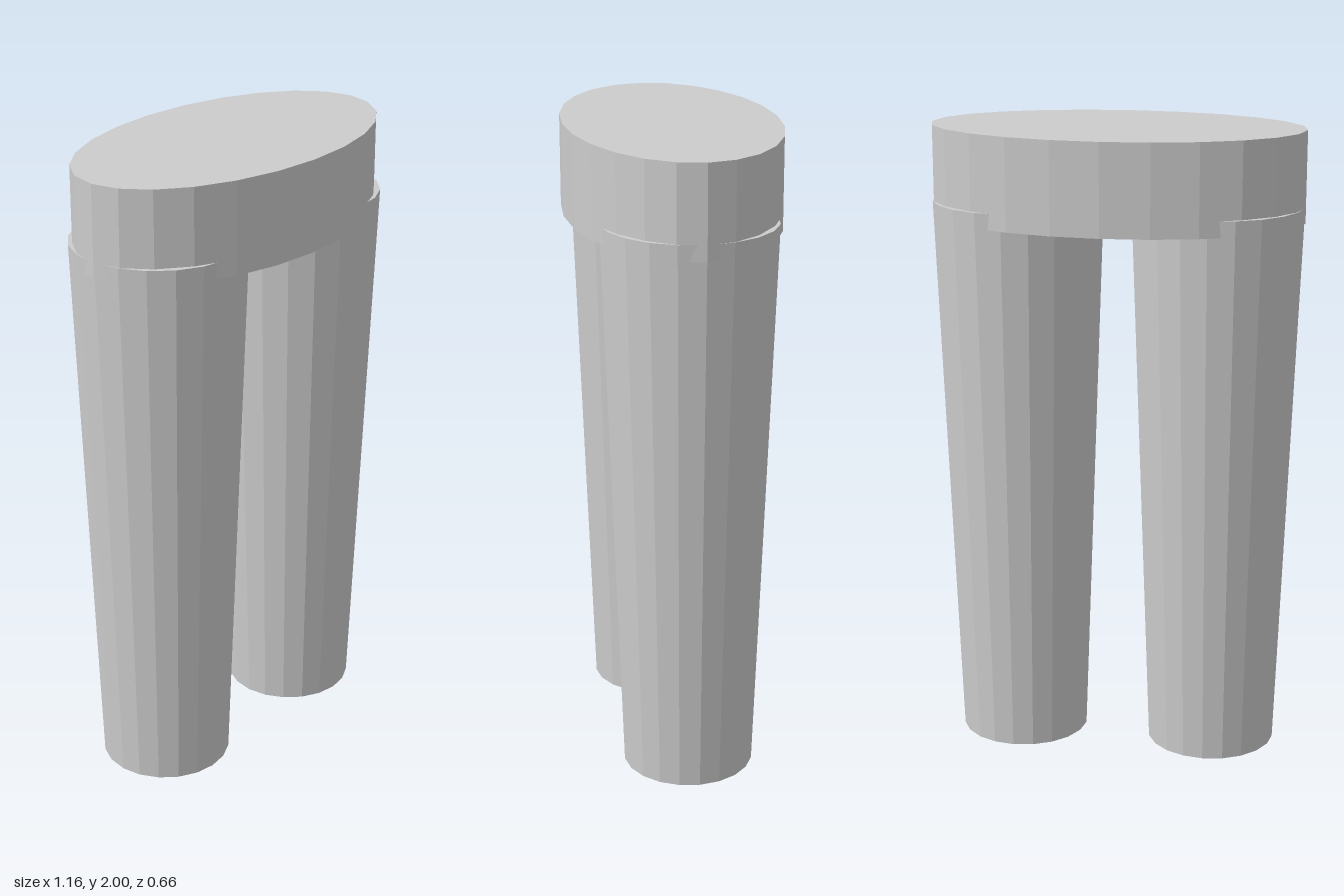
import * as THREE from 'three';

export function createModel() {
  const model = new THREE.Group();
  model.name = 'trousers';

  const fabric = new THREE.MeshStandardMaterial({ color: 0xcccccc, flatShading: true });
  fabric.name = 'light grey fabric';

  // Oval waistband
  const waistBottom = 1.715, waistHeight = 2 - waistBottom;
  const waistGeometry = new THREE.CylinderGeometry(1, 1, waistHeight, 24);
  waistGeometry.scale(0.58, 1, 0.33);
  const waist = new THREE.Mesh(waistGeometry, fabric);
  waist.name = 'waistband';
  waist.position.y = waistBottom + waistHeight / 2;
  model.add(waist);

  // Tapered legs, reaching slightly up into the waistband
  const legHeight = 1.765;
  const legGeometry = new THREE.CylinderGeometry(0.267, 0.205, legHeight, 20);
  for (const side of [-1, 1]) {
    const leg = new THREE.Mesh(legGeometry, fabric);
    leg.name = side > 0 ? 'leftLeg' : 'rightLeg';
    leg.position.set(side * 0.311, legHeight / 2, 0);
    model.add(leg);
  }

  return model;
}
